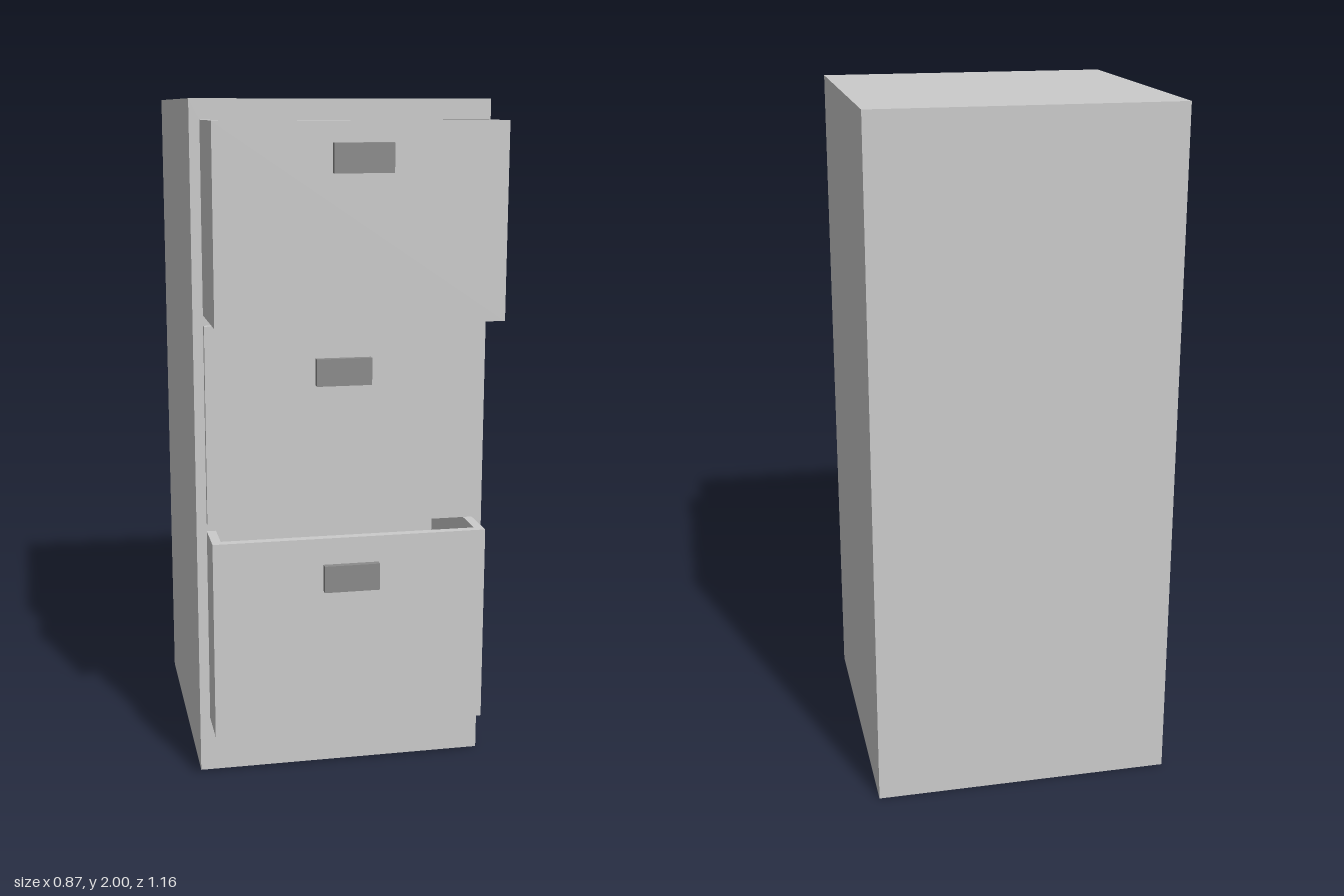
import * as THREE from 'three';

const grey = new THREE.MeshStandardMaterial({ color: 0xcccccc, flatShading: true });
const dark = new THREE.MeshStandardMaterial({ color: 0x8b8b8b, flatShading: true });

const HALF_W = 0.405; // drawer half width
const WALL = 0.027;
const FLOOR = 0.3; // height of the drawer's solid base
const FRONT = 0.29, BACK = -0.58; // cabinet depth range

// y range, front and back z, and handle centre height of each drawer
const drawers = [
  { name: 'topDrawer', y0: 1.397, y1: 1.942, front: 0.56, back: -0.035, handleY: 1.845 },
  { name: 'middleDrawer', y0: 0.782, y1: 1.367, front: 0.31, back: -0.2, handleY: 1.225 },
  { name: 'bottomDrawer', y0: 0.168, y1: 0.757, front: 0.43, back: -0.09, handleY: 0.638 },
];

function rect(path, x0, y0, x1, y1) {
  path.moveTo(x0, y0);
  path.lineTo(x1, y0);
  path.lineTo(x1, y1);
  path.lineTo(x0, y1);
  path.closePath();
  return path;
}

function mesh(name, geometry, material = grey) {
  const m = new THREE.Mesh(geometry, material);
  m.name = name;
  return m;
}

function box(name, x0, x1, y0, y1, z0, z1, material) {
  const m = mesh(name, new THREE.BoxGeometry(x1 - x0, y1 - y0, z1 - z0), material);
  m.position.set((x0 + x1) / 2, (y0 + y1) / 2, (z0 + z1) / 2);
  return m;
}

// Cabinet shell with one opening per drawer, closed by a back panel
function createCabinet() {
  const cabinet = new THREE.Group();
  cabinet.name = 'cabinet';
  const outline = rect(new THREE.Shape(), -0.435, 0, 0.435, 2);
  for (const d of drawers) {
    outline.holes.push(rect(new THREE.Path(), -HALF_W, d.y0, HALF_W, d.y1));
  }
  const panelZ = BACK + 0.03;
  const shell = mesh('cabinetShell', new THREE.ExtrudeGeometry(outline, { depth: FRONT - panelZ, bevelEnabled: false }));
  shell.position.z = panelZ;
  cabinet.add(shell, box('backPanel', -0.435, 0.435, 0, 2, BACK, panelZ));
  return cabinet;
}

// Open-topped drawer: a ring of walls, a base and a handle plate
function createDrawer({ name, y0, y1, front, back, handleY }) {
  const drawer = new THREE.Group();
  drawer.name = name;
  const ring = rect(new THREE.Shape(), -HALF_W, -front, HALF_W, -back);
  const inner = HALF_W - WALL;
  ring.holes.push(rect(new THREE.Path(), -inner, -front + WALL, inner, -back - WALL));
  const walls = mesh('drawerWalls', new THREE.ExtrudeGeometry(ring, { depth: y1 - y0, bevelEnabled: false }).rotateX(-Math.PI / 2));
  walls.position.y = y0;
  drawer.add(
    walls,
    box('drawerBase', -inner, inner, y0, y0 + FLOOR, back + WALL, front - WALL),
    box('handle', -0.082, 0.082, handleY - 0.04, handleY + 0.04, front, front + 0.02, dark),
  );
  return drawer;
}

export function createModel() {
  const model = new THREE.Group();
  model.name = 'filingCabinet';
  model.add(createCabinet(), ...drawers.map(createDrawer));
  return model;
}
